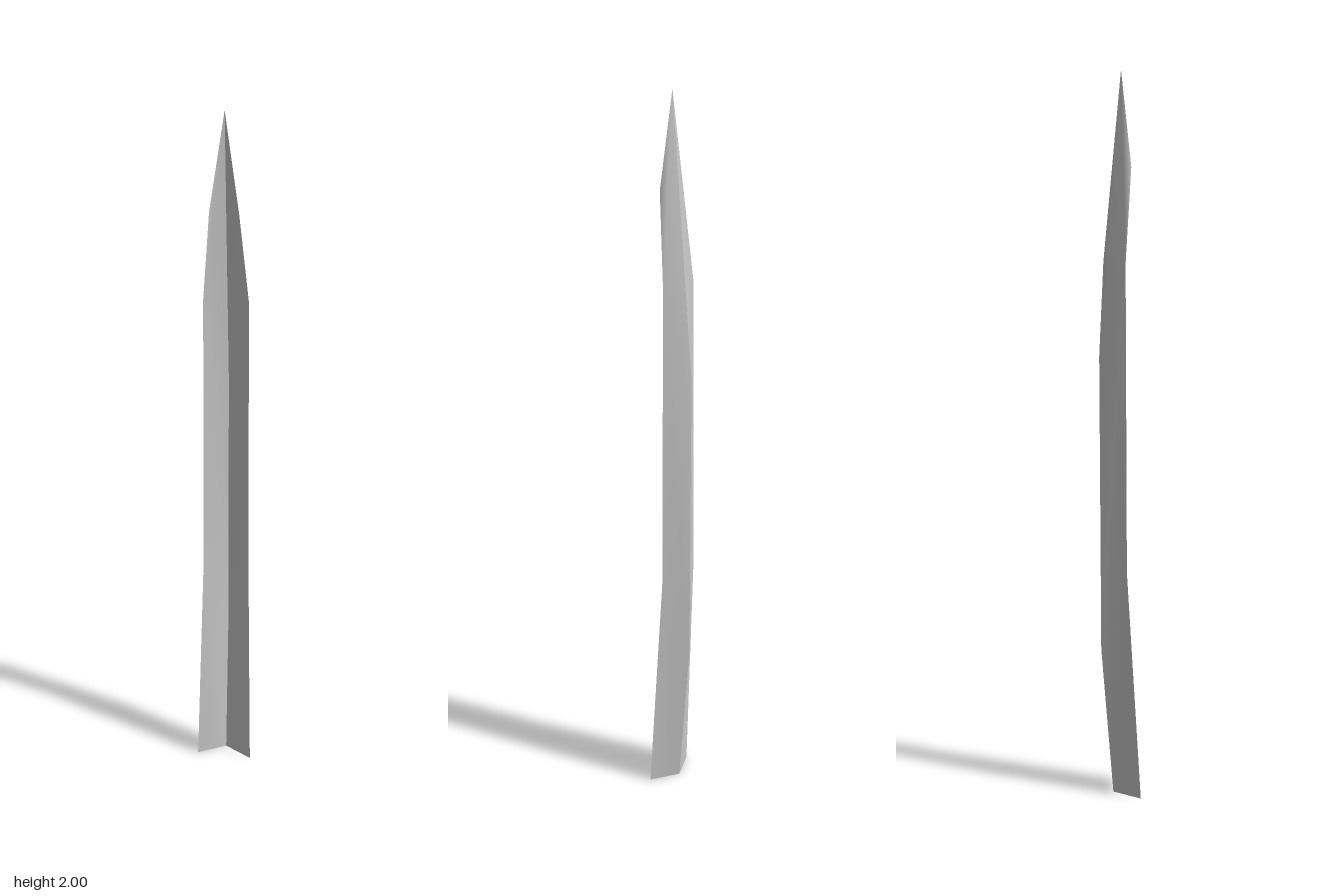
import * as THREE from 'three';

// Folded blade: a central rib set back, with two thin halves sweeping forward.
const RIB = [[0, 0, 0], [0, 0.43, -0.039], [0, 1.25, -0.044]];
const EDGE = [[0.08, 0, 0.043], [0.065, 0.66, 0.005], [0.059, 1.5, 0.003], [0.037, 1.75, 0.033]];
const TIP = [0, 2, 0.023];

// One half of the blade; side is +1 (left) or -1 (right)
function bladeHalf(side, material) {
  const points = [...RIB, ...EDGE, TIP];
  const tip = points.length - 1, e = RIB.length;
  const faces = [];
  // Strips between rib and edge
  for (let i = 0; i < RIB.length - 1; i++) {
    faces.push([i, e + i, e + i + 1], [i, e + i + 1, i + 1]);
  }
  // Fan that closes to the point
  faces.push([e - 1, e + 2, tip], [e + 2, e + 3, tip]);

  const geometry = new THREE.BufferGeometry();
  geometry.setAttribute('position', new THREE.Float32BufferAttribute(
    points.flatMap(([x, y, z]) => [x * side, y, z]), 3));
  geometry.setIndex(faces.flatMap(([a, b, c]) => (side > 0 ? [a, b, c] : [a, c, b])));
  geometry.computeVertexNormals();
  const mesh = new THREE.Mesh(geometry, material);
  mesh.name = side > 0 ? 'leftBladeHalf' : 'rightBladeHalf';
  return mesh;
}

export function createModel() {
  const group = new THREE.Group();
  group.name = 'foldedBlade';
  const material = new THREE.MeshStandardMaterial({ color: 0xcccccc, side: THREE.DoubleSide });
  for (const side of [1, -1]) group.add(bladeHalf(side, material));
  return group;
}
